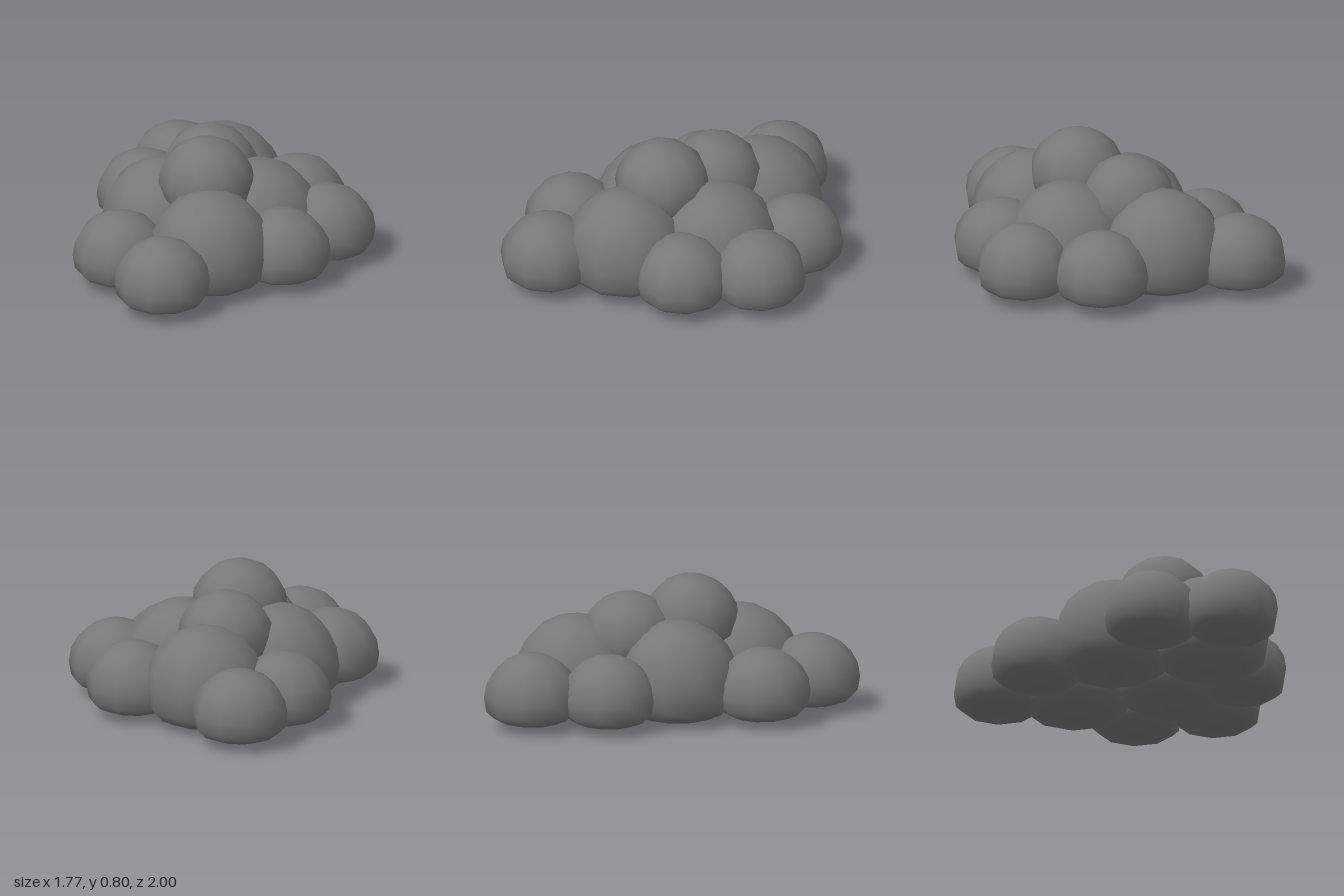
import * as THREE from 'three';
import { mergeVertices } from 'three/addons/utils/BufferGeometryUtils.js';

// Rounded dome above, shallow flattened belly below; origin at the widest ring.
function puffGeometry(radius, up, down) {
  const sphere = new THREE.SphereGeometry(1, 10, 10);
  sphere.deleteAttribute('uv');
  sphere.deleteAttribute('normal');
  const geometry = mergeVertices(sphere, 1e-3);
  const p = geometry.attributes.position;
  for (let i = 0; i < p.count; i++) {
    // the widest ring stays exactly level
    const y = Math.abs(p.getY(i)) < 1e-6 ? 0 : p.getY(i);
    const newY = y >= 0 ? y * up : -Math.pow(-y, 0.6) * down;
    p.setXYZ(i, p.getX(i) * radius, newY, p.getZ(i) * radius);
  }
  geometry.computeVertexNormals();
  return geometry;
}

export function createModel() {
  const cloud = new THREE.Group();
  cloud.name = 'cloud';
  const material = new THREE.MeshStandardMaterial({ color: 0x777777 });
  const small = puffGeometry(0.278, 0.26, 0.163);
  const large = puffGeometry(0.357, 0.36, 0.233);

  // Each layer: name, geometry, then puff centres [x, y, z]
  const layers = [
    ['corePuff', large, [
      [0.275, 0.235, 0.295], [-0.215, 0.235, 0.04],
      [0.265, 0.235, -0.245], [-0.2, 0.235, -0.573],
    ]],
    ['rimPuff', small, [
      [0.23, 0.19, 0.736], [-0.185, 0.19, 0.537], [-0.555, 0.19, -0.293],
      [-0.608, 0.19, -0.736], [0.23, 0.19, -0.71], [0.608, 0.19, -0.438],
      [0.583, 0.19, 0.0],
    ]],
    ['crownPuff', small, [[0.09, 0.54, 0.05], [-0.095, 0.46, -0.28]]],
  ];

  for (const [name, geometry, centres] of layers) {
    centres.forEach((centre, i) => {
      const puff = new THREE.Mesh(geometry, material);
      puff.name = name + (i + 1);
      puff.position.set(...centre);
      cloud.add(puff);
    });
  }
  return cloud;
}
